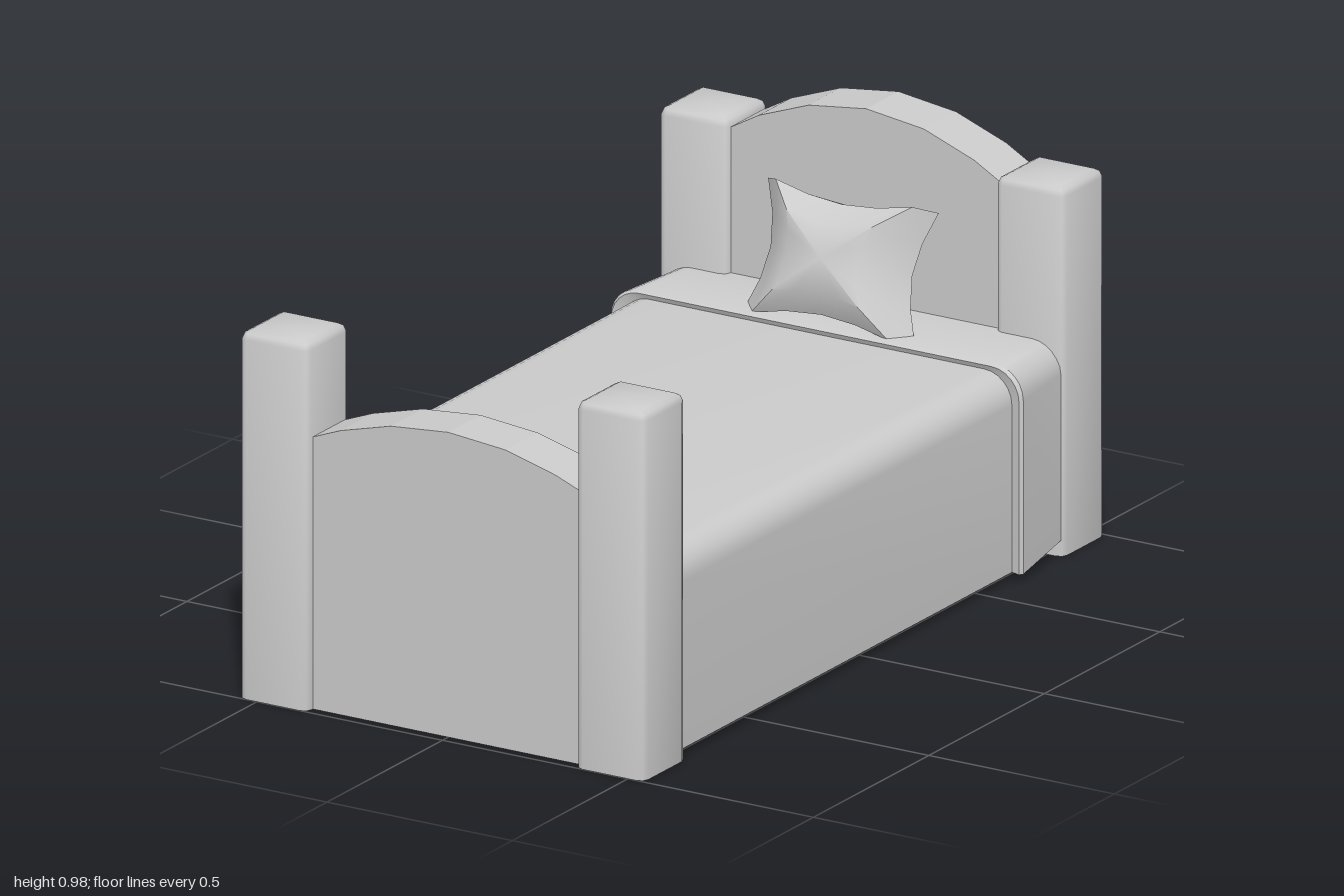
import * as THREE from 'three';
import { toCreasedNormals } from 'three/addons/utils/BufferGeometryUtils.js';

const material = new THREE.MeshStandardMaterial({ color: 0xcccccc, side: THREE.DoubleSide });

// Skin a list of equal-length cross-sections; closed joins last point to first
function loft(rings, closed, crease) {
  const n = rings[0].length, index = [];
  for (let j = 0; j < rings.length - 1; j++) {
    for (let i = 0; i < (closed ? n : n - 1); i++) {
      const k = (i + 1) % n;
      const a = j * n + i, b = j * n + k, c = a + n, d = b + n;
      index.push(a, b, d, a, d, c);
    }
  }
  const geometry = new THREE.BufferGeometry();
  geometry.setAttribute('position', new THREE.Float32BufferAttribute(rings.flat(2), 3));
  geometry.setIndex(index);
  return toCreasedNormals(geometry, crease);
}

function part(name, geometry) {
  const mesh = new THREE.Mesh(geometry, material);
  mesh.name = name;
  return mesh;
}

// Square post with rounded edges and an open foot
function postGeometry() {
  const half = 0.0925, r = 0.02;
  const ring = (y, inset) => {
    const points = [];
    for (let c = 0; c < 4; c++) {
      const mid = Math.PI / 4 + c * Math.PI / 2;
      for (const t of [-1, 0, 1]) {
        const a = mid + t * Math.PI / 4, rr = Math.max(r - inset, 0);
        const core = Math.min(half - r, half - inset);
        points.push([Math.sign(Math.cos(mid)) * core + rr * Math.cos(a), y,
          -Math.sign(Math.sin(mid)) * core - rr * Math.sin(a)]);
      }
    }
    return points;
  };
  return loft([ring(0, 0), ring(0.872, 0), ring(0.885, 0.006), ring(0.892, 0.02), ring(0.892, half)], true, 0.9);
}

// Arched end board
function boardGeometry(bottom, tops) {
  const xs = [0.4, 0.29, 0.155, 0];
  const shape = new THREE.Shape();
  shape.moveTo(-0.4, bottom);
  shape.lineTo(0.4, bottom);
  xs.forEach((x, i) => shape.lineTo(x, tops[i]));
  for (let i = 2; i >= 0; i--) shape.lineTo(-xs[i], tops[i]);
  shape.closePath();
  const geometry = new THREE.ExtrudeGeometry(shape, { depth: 0.14, bevelEnabled: false });
  return geometry.translate(0, 0, -0.07);
}

// Draped cover section: straight sides and rounded shoulders
function drape(z, w, top, bottom, r = 0.075) {
  const side = [[w, bottom]];
  for (let i = 0; i <= 6; i++) {
    const a = i / 6 * Math.PI / 2;
    side.push([w - r + r * Math.cos(a), top - r + r * Math.sin(a)]);
  }
  const left = side.map(([x, y]) => [-x, y, z]);
  return left.concat(side.reverse().map(([x, y]) => [x, y, z]));
}

// Cushion with pointed corners and pinched edges
function pillowGeometry() {
  const outline = [];
  const corners = [[1, -1], [1, 1], [-1, 1], [-1, -1]];
  corners.forEach(([x, y], c) => {
    const [nx, ny] = corners[(c + 1) % 4];
    for (let i = 0; i < 4; i++) {
      const t = i / 4, pinch = 1 - 0.17 * Math.sin(Math.PI * t);
      const px = x + (nx - x) * t, py = y + (ny - y) * t;
      outline.push(c % 2 ? [px, py * pinch] : [px * pinch, py]);
    }
  });
  const layers = [[0, 0, -0.09], [0.55, 0.55, -0.085], [0.86, 0.9, -0.055], [1, 0.98, -0.015],
    [0.8, 1, 0.03], [0.5, 0.6, 0.075], [0, 0, 0.085]];
  return loft(layers.map(([sx, sy, z]) => outline.map(([x, y]) => [x * 0.23 * sx, y * 0.155 * sy, z])), true, 0.65);
}

export function createModel() {
  const bed = new THREE.Group();
  bed.name = 'bed';

  // Four corner posts
  const post = postGeometry();
  for (const [end, z] of [['front', 0.9075], ['back', -0.9075]]) {
    for (const [side, x] of [['Left', 0.45], ['Right', -0.4575]]) {
      const mesh = part(end + side + 'Post', post);
      mesh.position.set(x, 0, z);
      bed.add(mesh);
    }
  }

  // Head and foot boards
  const headboard = part('headboard', boardGeometry(0.07, [0.85, 0.912, 0.962, 0.982]));
  headboard.position.z = -0.905;
  const footboard = part('footboard', boardGeometry(0, [0.647, 0.69, 0.726, 0.74]));
  footboard.position.z = 0.905;
  bed.add(headboard, footboard);

  // Blanket shell, open underneath
  bed.add(part('blanket', loft([drape(0.84, 0.527, 0.5, 0.02), drape(-0.62, 0.527, 0.5, 0.02)], false, 0.6)));

  // Thicker turned-down sheet tapering towards the headboard
  bed.add(part('foldedSheet', loft([
    drape(-0.62, 0.525, 0.498, 0.02),
    drape(-0.613, 0.55, 0.512, 0.02),
    drape(-0.622, 0.556, 0.516, 0.02),
    drape(-0.84, 0.532, 0.516, 0.04),
  ], false, 0.6)));

  // Pillow leaning on the headboard
  const pillow = part('pillow', pillowGeometry());
  pillow.position.set(-0.004, 0.648, -0.72);
  pillow.rotation.x = -0.35;
  bed.add(pillow);

  return bed;
}
